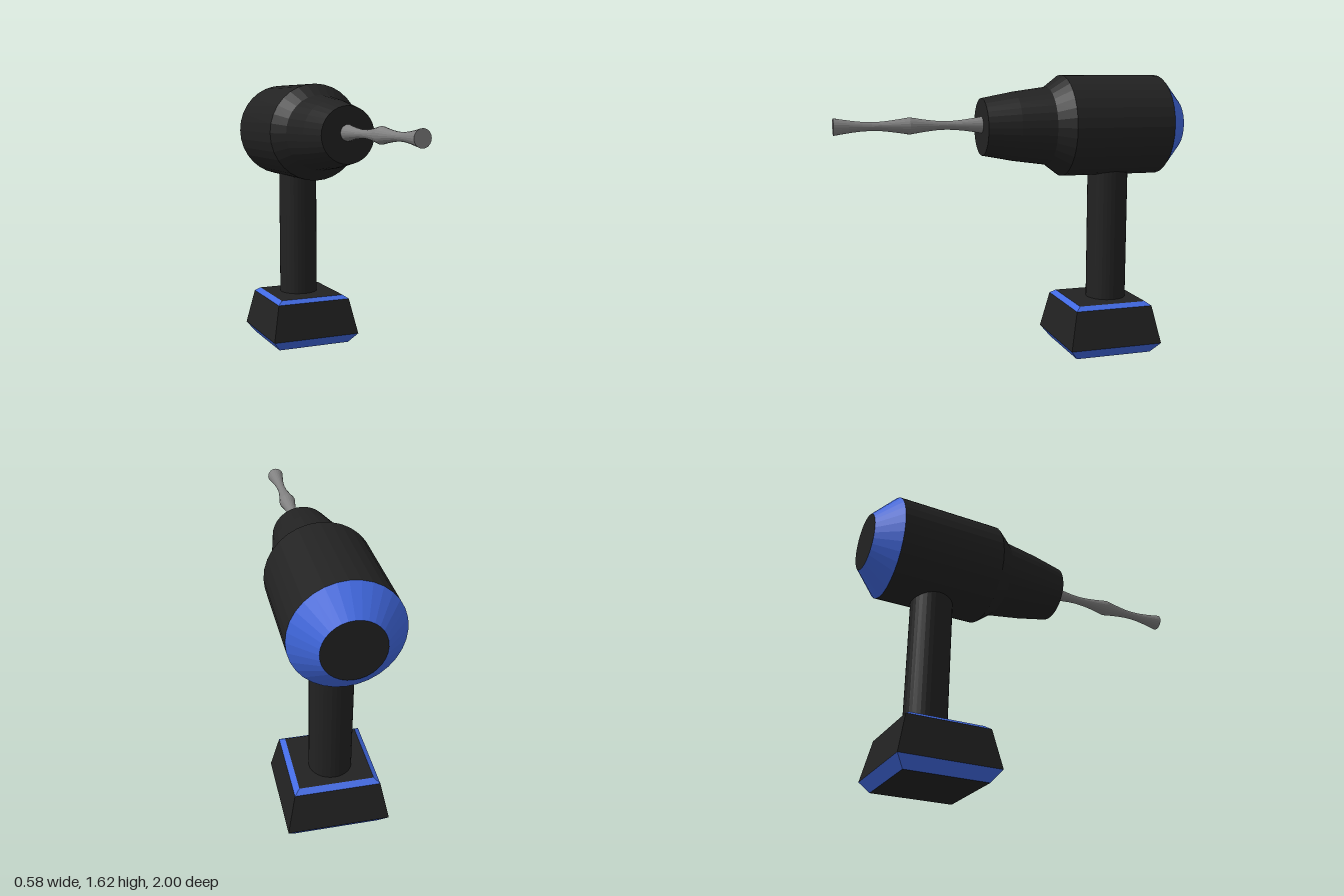
import * as THREE from 'three';

const paint = (name, color, flatShading = true) => {
  const m = new THREE.MeshStandardMaterial({ color, flatShading });
  m.name = name;
  return m;
};

// Stack of frustums along +y. rings: [height, radius]; mats: one per band; caps: material for both ends.
function stack(name, rings, sides, mats, caps) {
  const group = new THREE.Group();
  group.name = name;
  const square = sides === 4;
  const k = square ? Math.SQRT2 : 1;
  const start = square ? Math.PI / 4 : 0;
  const add = (geo, mat, y, part) => {
    const mesh = new THREE.Mesh(geo, mat);
    mesh.position.y = y;
    mesh.name = part;
    group.add(mesh);
    return mesh;
  };
  for (let i = 0; i < rings.length - 1; i++) {
    const [y0, r0] = rings[i], [y1, r1] = rings[i + 1];
    add(new THREE.CylinderGeometry(r1 * k, r0 * k, y1 - y0, sides, 1, true, start),
      mats[i], (y0 + y1) / 2, `${name}Band${i + 1}`);
  }
  const [yb, rb] = rings[0], [yt, rt] = rings[rings.length - 1];
  add(new THREE.CircleGeometry(rb * k, sides, start), caps, yb, `${name}Bottom`).rotation.x = Math.PI / 2;
  add(new THREE.CircleGeometry(rt * k, sides, start), caps, yt, `${name}Top`).rotation.x = -Math.PI / 2;
  return group;
}

export function createModel() {
  const model = new THREE.Group();
  model.name = 'cordlessDrill';
  const black = paint('blackPlastic', 0x222222);
  const blue = paint('blueTrim', 0x4169e1);
  const steel = paint('greySteel', 0x808080);

  // Motor housing and chuck, pointing forward
  const body = stack('housing', [
    [-1, 0.16], [-0.875, 0.29], [-0.285, 0.29], [-0.195, 0.223], [0, 0.196], [0.183, 0.161],
  ], 32, [blue, black, black, black, black], black);
  body.rotation.x = Math.PI / 2;
  body.position.y = 1.335;
  model.add(body);

  // Drill bit: two twisted sections, each waisted along straight ruling lines
  const R = 0.047, steps = 8, bitRings = [];
  for (let s = 0; s < 2; s++) {
    for (let i = s; i <= steps; i++) {
      const t = i / steps;
      bitRings.push([0.18 + 0.41 * (s + t), R * Math.sqrt(1 - 3 * t * (1 - t))]);
    }
  }
  const bit = stack('drillBit', bitRings, 20, bitRings.map(() => steel), steel);
  bit.rotation.x = Math.PI / 2;
  bit.position.y = 1.347;
  model.add(bit);

  // Grip
  const grip = stack('grip', [[0.3, 0.118], [1.1, 0.118]], 32, [black], black);
  grip.position.z = -0.59;
  model.add(grip);

  // Square battery pack with blue chamfers
  const battery = stack('battery', [
    [0, 0.232], [0.063, 0.281], [0.283, 0.235], [0.305, 0.205],
  ], 4, [blue, black, blue], black);
  battery.position.z = -0.55;
  model.add(battery);

  return model;
}
